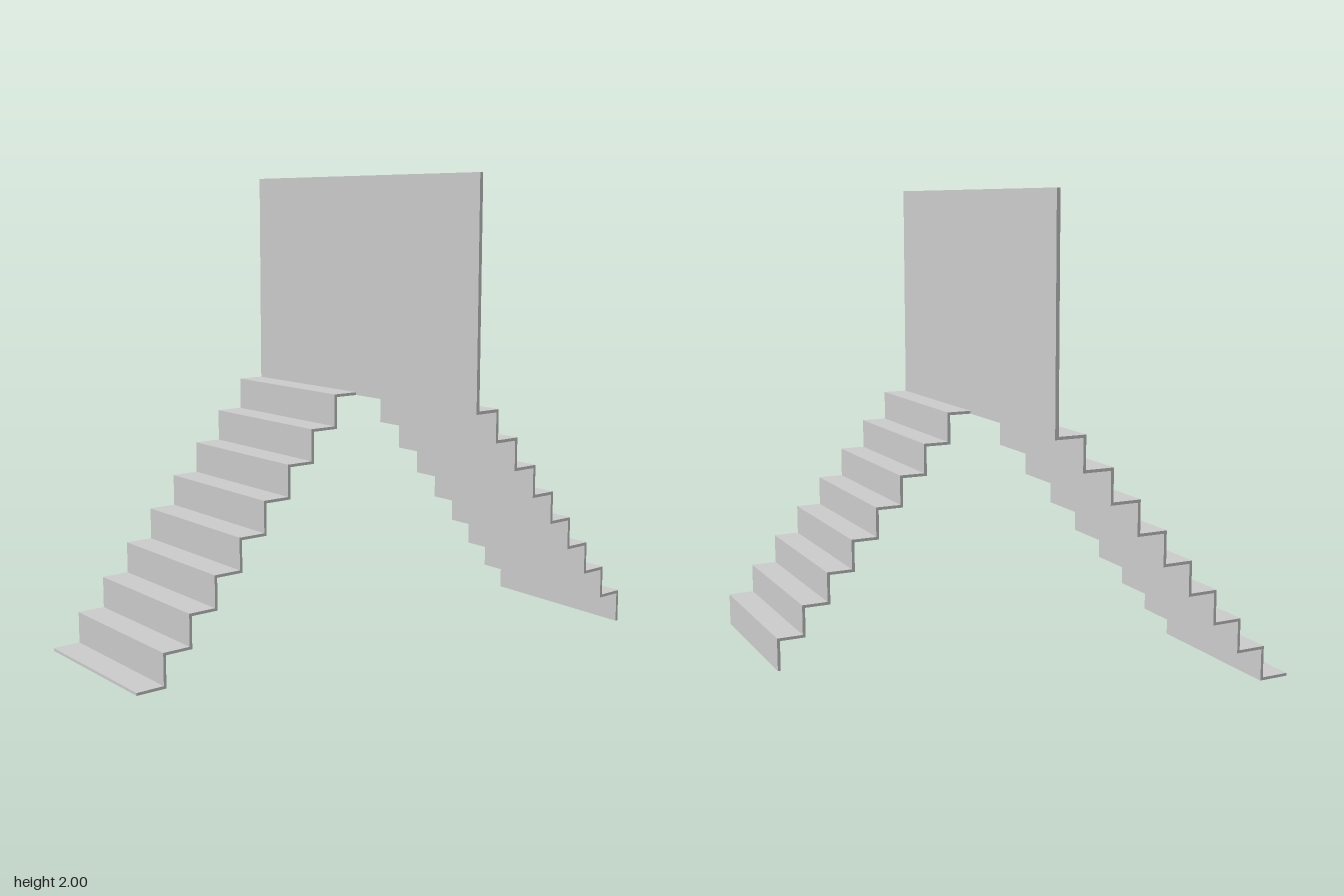
import * as THREE from 'three';

const T = 0.012;     // sheet thickness of treads and risers
const TOP = 1.095;   // landing height
const HALF = 0.712;  // half width of the wall
const GAP = 0.016;   // half gap between the two flights

const material = new THREE.MeshStandardMaterial({ color: 0xcccccc, flatShading: true });

// Folded-sheet staircase going down from the wall; dir is +1 to the front, -1 to the back
function flight(name, { dir, wallZ, edgeZ, run, rise, steps, endsWithTread, xMin }) {
  const outer = [[wallZ, TOP]];
  const inner = [[wallZ, TOP - T]];
  for (let i = 0; i < steps; i++) {
    const z = edgeZ + dir * i * run;
    for (const y of [TOP - i * rise, TOP - (i + 1) * rise]) {
      outer.push([z, y]);
      inner.push([z - dir * T, y - T]);
    }
  }
  if (endsWithTread) {
    const z = edgeZ + dir * steps * run;
    const y = TOP - steps * rise;
    outer.push([z, y]);
    inner.push([z, y - T]);
  } else {
    outer[outer.length - 1][1] -= T; // square off the last riser
  }
  const outline = [...outer, ...inner.reverse()].map(([z, y]) => new THREE.Vector2(z, y));
  const width = HALF - GAP;
  const geometry = new THREE.ExtrudeGeometry(new THREE.Shape(outline), { depth: width, bevelEnabled: false });
  geometry.rotateY(-Math.PI / 2).translate(xMin + width, 0, 0);
  const mesh = new THREE.Mesh(geometry, material);
  mesh.name = name;
  return mesh;
}

export function createModel() {
  const group = new THREE.Group();
  group.name = 'wallWithStairs';

  // Upright wall standing on the landing line
  const bottom = TOP - T;
  const wall = new THREE.Mesh(new THREE.BoxGeometry(2 * HALF, 2 - bottom, 0.015), material);
  wall.position.set(0, (2 + bottom) / 2, -0.12);
  wall.name = 'wall';
  group.add(wall);

  // Front flight reaches the ground with a tread
  group.add(flight('frontStairs', {
    dir: 1, wallZ: -0.1125, edgeZ: 0.005, run: 0.12225, rise: 0.1354,
    steps: 8, endsWithTread: true, xMin: -HALF,
  }));

  // Back flight ends with a hanging riser
  group.add(flight('backStairs', {
    dir: -1, wallZ: -0.1275, edgeZ: -0.232, run: 0.1073, rise: 0.1228,
    steps: 8, endsWithTread: false, xMin: GAP,
  }));

  return group;
}
